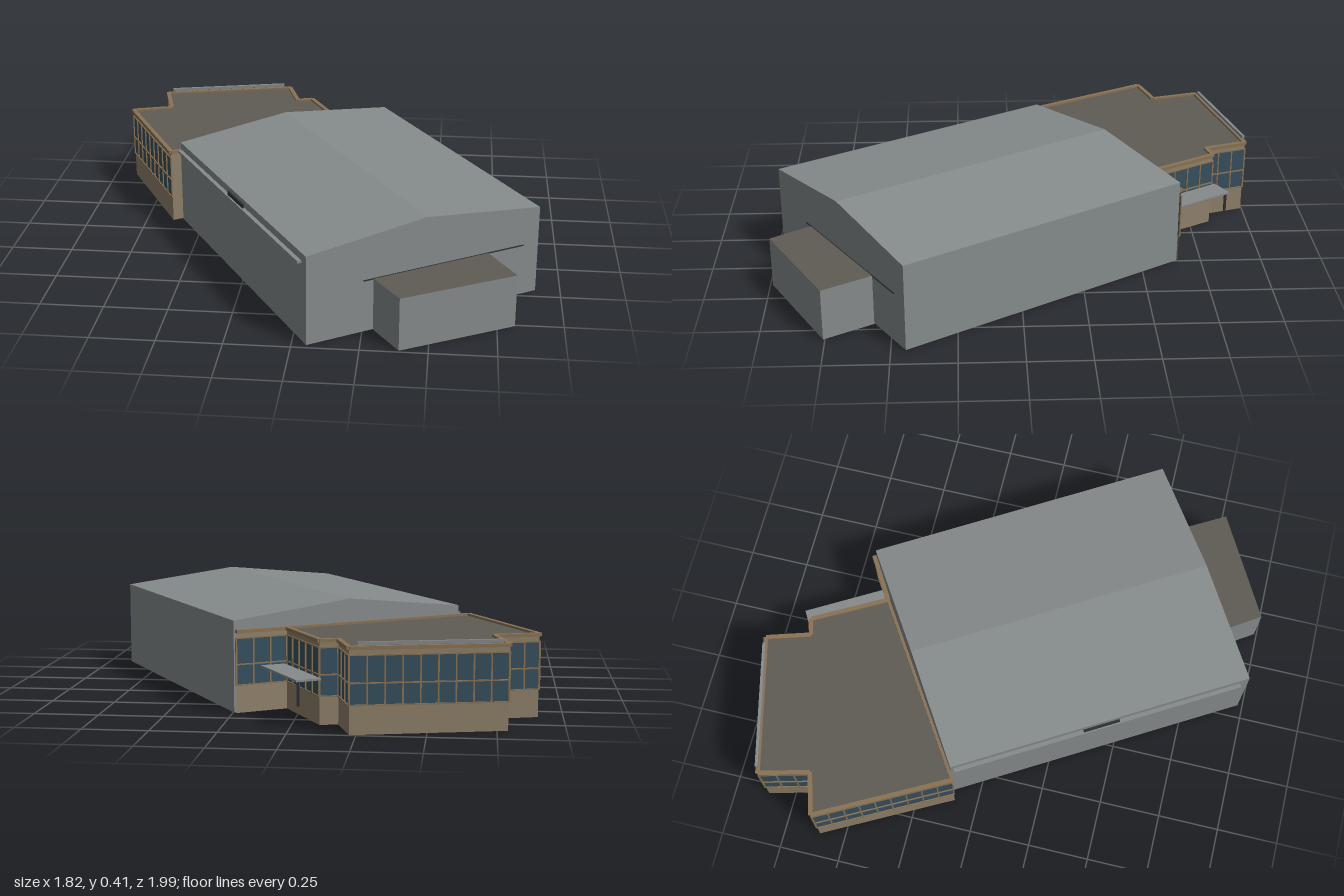
import * as THREE from 'three';

const mat = (name, color) => {
  const m = new THREE.MeshStandardMaterial({ color, side: THREE.DoubleSide });
  m.name = name;
  return m;
};

export function createModel() {
  const model = new THREE.Group();
  model.name = 'warehouseWithOffice';
  const grey = mat('greyCladding', 0x868b8c);
  const flat = mat('flatRoofing', 0x5f5c55);
  const tan = mat('tanMasonry', 0x8f806a);
  const trim = mat('brownTrim', 0x8a7355);
  const glass = mat('blueGlass', 0x36505f);
  const dark = mat('darkMetal', 0x2f3234);

  const add = (name, geo, material, parent = model) => {
    const mesh = new THREE.Mesh(geo, material);
    mesh.name = name;
    parent.add(mesh);
    return mesh;
  };

  // Flat polygon from [x, y, z] corners, fanned from the first corner
  const poly = (name, pts, material, parent) => {
    const verts = [];
    for (let i = 1; i < pts.length - 1; i++) verts.push(...pts[0], ...pts[i], ...pts[i + 1]);
    const geo = new THREE.BufferGeometry();
    geo.setAttribute('position', new THREE.Float32BufferAttribute(verts, 3));
    geo.computeVertexNormals();
    return add(name, geo, material, parent);
  };

  // Upright wall between two plan points [x, z]
  const wall = (name, p, q, y0, y1, material, parent) =>
    poly(name, [[p[0], y0, p[1]], [q[0], y0, q[1]], [q[0], y1, q[1]], [p[0], y1, p[1]]], material, parent);

  // Horizontal bar between two plan points
  const bar = (name, p, q, y0, y1, w, material, parent) => {
    const dx = q[0] - p[0], dz = q[1] - p[1];
    const m = add(name, new THREE.BoxGeometry(Math.hypot(dx, dz), y1 - y0, w), material, parent);
    m.position.set((p[0] + q[0]) / 2, (y0 + y1) / 2, (p[1] + q[1]) / 2);
    m.rotation.y = -Math.atan2(dz, dx);
    return m;
  };

  const mix = (p, q, t) => [p[0] + (q[0] - p[0]) * t, p[1] + (q[1] - p[1]) * t];

  // Move an edge sideways to its outer side
  const shift = (p, q, d) => {
    const dx = q[0] - p[0], dz = q[1] - p[1], l = Math.hypot(dx, dz);
    const n = [dz / l * d, -dx / l * d];
    return [[p[0] + n[0], p[1] + n[1]], [q[0] + n[0], q[1] + n[1]]];
  };

  // Flat roof over plan points
  const slab = (name, pts, y, material, parent) => {
    const shape = new THREE.Shape(pts.map(([x, z]) => new THREE.Vector2(x, -z)));
    const m = add(name, new THREE.ShapeGeometry(shape).rotateX(-Math.PI / 2), material, parent);
    m.position.y = y;
    return m;
  };

  // Main hall: open-bottomed shell with a shallow gable roof
  const hall = new THREE.Group();
  hall.name = 'hall';
  model.add(hall);
  const A = [0.245, -0.65], B = [0.903, 0.444], C = [0.055, 0.98], D = [-0.595, -0.112];
  const EAVE = 0.355, RIDGE = 0.411;
  const r0 = mix(A, D, 0.5), r1 = mix(B, C, 0.5);
  const at = (p, y) => [p[0], y, p[1]];
  wall('rightSideWall', A, B, 0, EAVE, grey, hall);
  wall('leftSideWall', C, D, 0, EAVE, grey, hall);
  poly('frontGable', [at(C, 0), at(B, 0), at(B, EAVE), at(r1, RIDGE), at(C, EAVE)], grey, hall);
  poly('backGable', [at(A, 0), at(D, 0), at(D, EAVE), at(r0, RIDGE), at(A, EAVE)], grey, hall);
  poly('roofSlopeA', [at(A, EAVE), at(r0, RIDGE), at(r1, RIDGE), at(B, EAVE)], grey, hall);
  poly('roofSlopeB', [at(D, EAVE), at(C, EAVE), at(r1, RIDGE), at(r0, RIDGE)], grey, hall);

  // Ledge and blank sign panel on the long wall
  const [g0, g1] = shift(D, C, -0.008);
  const [h0, h1] = shift(D, C, 0.008);
  const out = h0[0] < g0[0] ? [h0, h1] : [g0, g1];
  bar('wallLedge', mix(...out, 0.01), mix(...out, 0.97), 0.315, 0.325, 0.018, grey, hall);
  bar('signPanel', mix(...out, 0.44), mix(...out, 0.56), 0.327, 0.343, 0.008, dark, hall);

  // Loading dock at the gable end
  const dock = new THREE.Group();
  dock.name = 'loadingDock';
  model.add(dock);
  const dockPts = [[0.29, 0.835], [0.393, 0.99], [0.817, 0.757], [0.71, 0.57]];
  for (let i = 0; i < 3; i++) wall('dockWall', dockPts[i], dockPts[i + 1], 0, 0.21, grey, dock);
  slab('dockRoof', dockPts, 0.21, flat, dock);
  bar('dockFlashing', [0.255, 0.855], [0.845, 0.482], 0.207, 0.211, 0.006, dark, dock);

  // Office wing: masonry base, glazed band, fascia and coping
  const office = new THREE.Group();
  office.name = 'office';
  model.add(office);
  const pts = [
    [-0.635, -0.095], [-0.905, -0.605], [-0.737, -0.657], [-0.79, -0.86], [-0.225, -0.995],
    [-0.17, -0.817], [-0.103, -0.837], [0.055, -0.547], [0.235, -0.657],
  ];
  const SILL = 0.105, HEAD = 0.29, TOP = 0.308;
  for (let i = 0; i < pts.length - 1; i++) {
    const p = pts[i], q = pts[i + 1];
    wall('masonryBase', p, q, 0, SILL, tan, office);
    wall('glazing', p, q, SILL, HEAD, glass, office);
    wall('fascia', p, q, HEAD, TOP, tan, office);
    bar('coping', p, q, TOP, 0.321, 0.018, trim, office);
    const [a, b] = shift(p, q, 0.002);
    for (const y of [SILL, 0.185, HEAD - 0.004]) bar('transom', a, b, y, y + 0.005, 0.006, trim, office);
    const len = Math.hypot(q[0] - p[0], q[1] - p[1]);
    const n = Math.max(1, Math.round(len / 0.065));
    for (let k = 0; k <= n; k++) {
      const c = mix(a, b, k / n);
      const m = add('mullion', new THREE.BoxGeometry(0.006, HEAD - SILL, 0.006), trim, office);
      m.position.set(c[0], (SILL + HEAD) / 2, c[1]);
      m.rotation.y = -Math.atan2(q[1] - p[1], q[0] - p[0]);
    }
  }
  // Pier and upstand where the wing meets the hall
  wall('cornerPier', pts[0], [-0.59, -0.122], 0, TOP, tan, office);
  bar('hallUpstand', pts[0], pts[7], TOP, 0.321, 0.012, trim, office);
  slab('officeRoof', pts.slice(0, 8), 0.312, flat, office);

  // Raised band along the back parapet
  const [s0, s1] = shift(pts[4], pts[3], -0.004);
  bar('parapetBand', mix(s0, s1, 0.05), mix(s0, s1, 0.96), 0.325, 0.337, 0.012, grey, office);

  // Entrance canopy with its short hanger post
  const canopy = new THREE.Group();
  canopy.name = 'entranceCanopy';
  model.add(canopy);
  bar('canopySlab', [-0.067, -0.878], [0.105, -0.58], 0.17, 0.178, 0.098, grey, canopy);
  const post = add('canopyPost', new THREE.BoxGeometry(0.01, 0.09, 0.01), dark, canopy);
  post.position.set(-0.03, 0.125, -0.888);

  return model;
}
